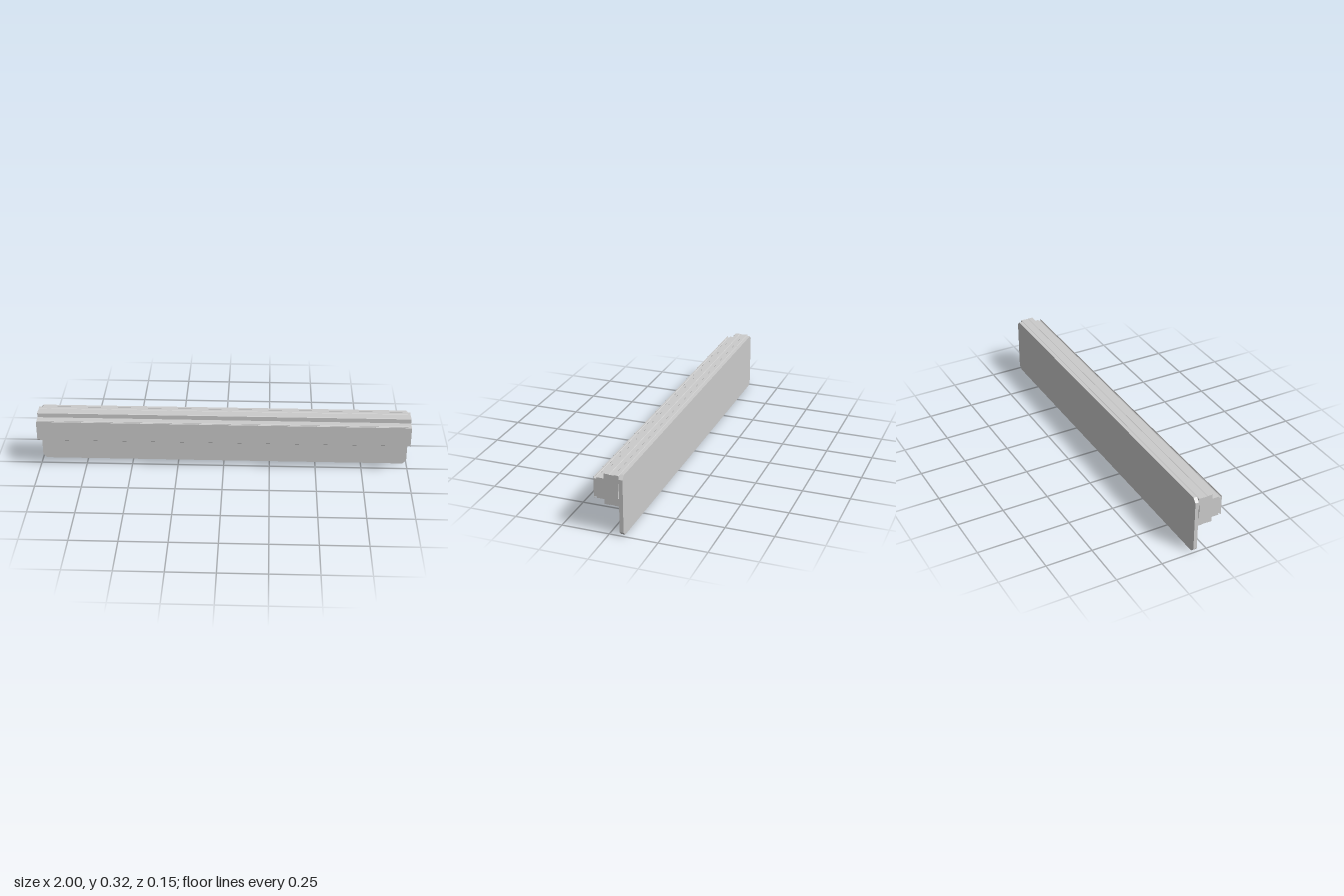
import * as THREE from 'three';

const LENGTH = 2;
const material = new THREE.MeshStandardMaterial({ color: 0xcccccc, flatShading: true });

function extrude(name, shape, depth) {
  const geometry = new THREE.ExtrudeGeometry(shape, { depth, bevelEnabled: false });
  const mesh = new THREE.Mesh(geometry, material);
  mesh.name = name;
  return mesh;
}

// Flat plate with clipped corners
function createBackPlate() {
  const w = LENGTH / 2, h = 0.32, c = 0.02;
  const outline = [
    [-w + c, 0], [w - c, 0], [w, c], [w, h - c],
    [w - c, h], [-w + c, h], [-w, h - c], [-w, c],
  ];
  const plate = extrude('backPlate', new THREE.Shape(outline.map(p => new THREE.Vector2(...p))), 0.02);
  plate.position.z = -0.0745;
  return plate;
}

// Stepped rail: the upper half of its section (z, height above its axis), mirrored below
function createRail() {
  const axis = 0.2395;
  const half = [
    // shallow slot against the plate
    [-0.051, 0.04], [-0.0545, 0.04],
    // wide block with a shallow channel on top
    [-0.0545, 0.0785], [-0.052, 0.0805], [-0.033, 0.0805], [-0.031, 0.079],
    [-0.008, 0.079], [-0.006, 0.0805], [0.019, 0.0805], [0.021, 0.0785],
    // nose with an undercut groove
    [0.021, 0.0545], [0.0575, 0.0545], [0.0595, 0.0525], [0.0595, 0.0505],
    [0.0575, 0.0505], [0.0585, 0.0485], [0.062, 0.0465], [0.068, 0.0465],
    [0.0715, 0.0485], [0.0725, 0.0505], [0.0705, 0.0505], [0.0705, 0.0535],
    [0.0715, 0.0555], [0.0735, 0.0555], [0.0745, 0.0545],
  ];
  const lower = half.map(([z, y]) => [z, -y]).reverse();
  const outline = [...half, ...lower].map(([z, y]) => new THREE.Vector2(z, axis + y));
  const rail = extrude('rail', new THREE.Shape(outline), LENGTH);
  rail.geometry.rotateY(-Math.PI / 2);
  rail.position.x = LENGTH / 2;
  return rail;
}

export function createModel() {
  const group = new THREE.Group();
  group.name = 'railWithPlate';
  group.add(createBackPlate(), createRail());
  return group;
}
